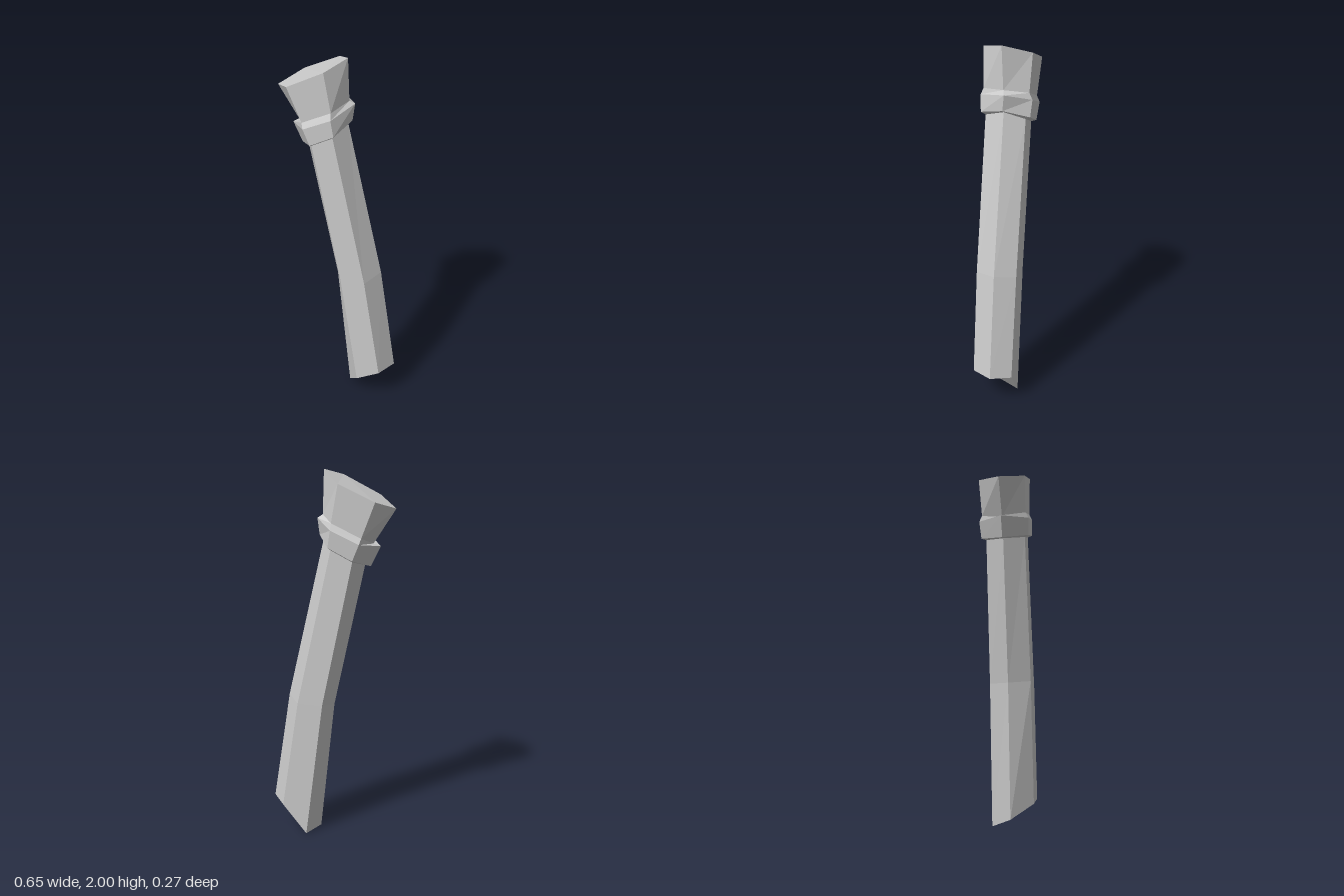
import * as THREE from 'three';

// A hexagonal section: [x, y] of the -x tip, the -x side corner, the +x side corner and
// the +x tip, then the front and back depth. Order runs counter-clockwise from above.
function ring(tipA, sideA, sideB, tipB, front, back, backA = sideA, backB = sideB, tipZ = 0) {
  return [
    [...tipA, 0], [...sideA, front], [...sideB, front],
    [...tipB, tipZ], [...backB, -back], [...backA, -back],
  ].map((p) => new THREE.Vector3(...p));
}

const TOP_CAP = [[0, 1, 5], [1, 2, 5], [2, 4, 5], [2, 3, 4]];
const BOTTOM_CAP = [[0, 5, 1], [1, 5, 4], [1, 4, 2], [2, 4, 3]];

// Faceted skin through rings listed from bottom to top, with optional end caps
function loft(name, rings, capBottom, capTop, material) {
  const points = [];
  for (let r = 0; r < rings.length - 1; r++) {
    const a = rings[r], b = rings[r + 1];
    for (let i = 0; i < 6; i++) {
      const j = (i + 1) % 6;
      points.push(a[i], a[j], b[j], a[i], b[j], b[i]);
    }
  }
  if (capBottom) BOTTOM_CAP.forEach((t) => t.forEach((i) => points.push(rings[0][i])));
  if (capTop) TOP_CAP.forEach((t) => t.forEach((i) => points.push(rings[rings.length - 1][i])));
  const geometry = new THREE.BufferGeometry().setFromPoints(points);
  geometry.computeVertexNormals();
  const mesh = new THREE.Mesh(geometry, material);
  mesh.name = name;
  return mesh;
}

export function createModel() {
  const group = new THREE.Group();
  group.name = 'bentHandle';
  const material = new THREE.MeshStandardMaterial({ color: 0xcccccc, flatShading: true });

  // Shaft sections: slanted broken end, bend, and where it enters the collar
  const shaftEnd = ring([0.066, 0.01], [0.14, 0.11], [0.267, 0.177], [0.325, 0.18],
    0.11, 0.105, [0.135, 0], [0.263, 0.167]);
  const shaftBend = ring([-0.008, 0.73], [0.045, 0.753], [0.177, 0.76], [0.237, 0.78],
    0.113, 0.106);
  const shaftTop = ring([-0.17, 1.51], [-0.113, 1.54], [0, 1.6], [0.047, 1.645], 0.11, 0.103);

  // Collar sections
  const collarBottom = ring([-0.2, 1.5], [-0.115, 1.55], [0.012, 1.617], [0.07, 1.66],
    0.132, 0.13);
  const collarTop = ring([-0.25, 1.607], [-0.15, 1.638], [-0.002, 1.708], [0.08, 1.75],
    0.136, 0.137, undefined, undefined, -0.01);

  // Flared head sections
  const neck = ring([-0.212, 1.62], [-0.16, 1.667], [-0.005, 1.743], [0.053, 1.767],
    0.121, 0.12);
  const headTop = ring([-0.328, 1.805], [-0.235, 1.855], [-0.04, 1.957], [0.048, 2],
    0.13, 0.127, [-0.23, 1.855], [-0.04, 1.945], 0.01);

  group.add(
    loft('shaft', [shaftEnd, shaftBend, shaftTop], true, false, material),
    loft('collar', [shaftTop, collarBottom, collarTop, neck], false, false, material),
    loft('head', [neck, headTop], false, true, material),
  );
  return group;
}
